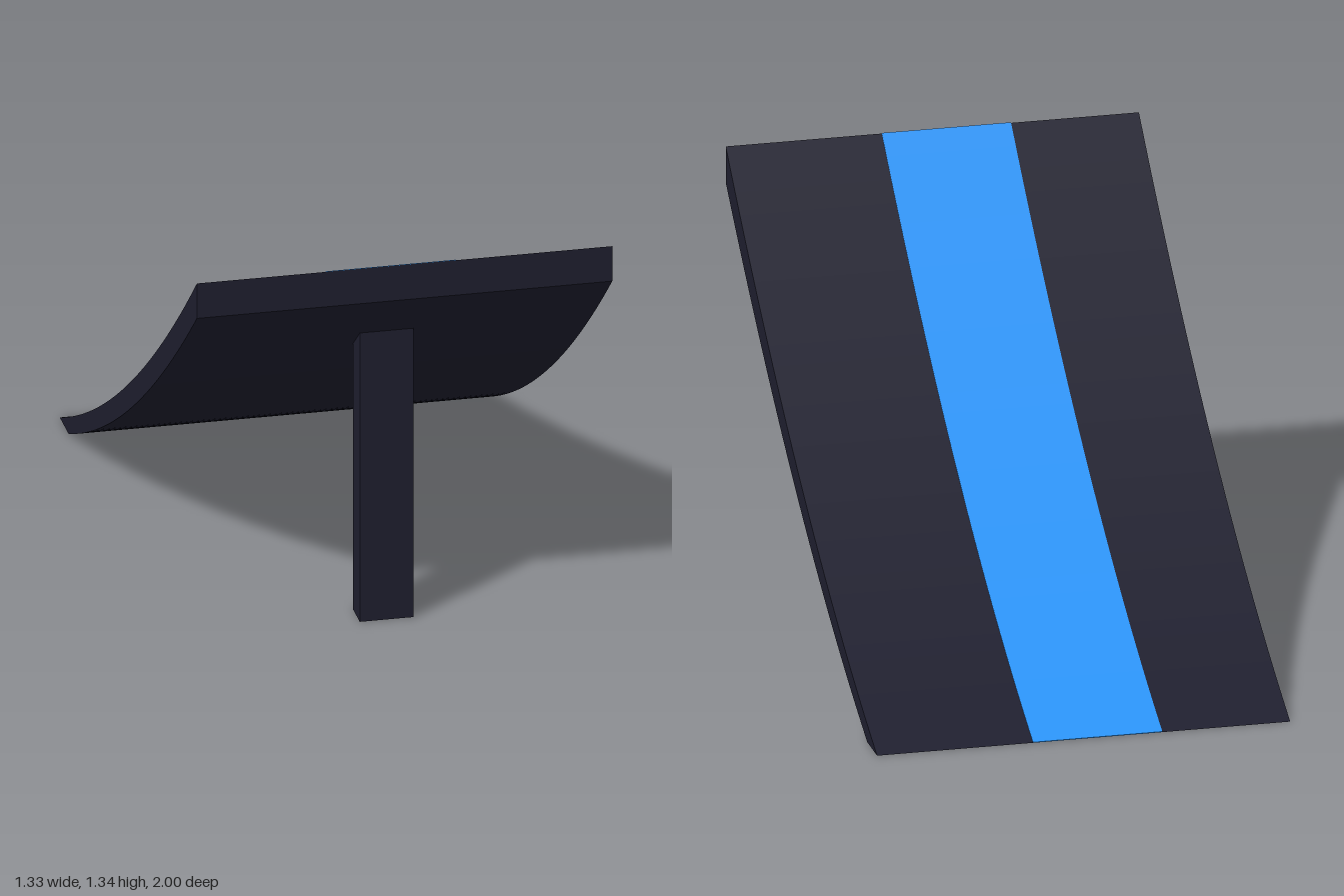
import * as THREE from 'three';

// Extrude a side profile (drawn as z, y) across x from x0 to x1
function sideExtrude(name, shape, x0, x1, color) {
  const geo = new THREE.ExtrudeGeometry(shape, { depth: x1 - x0, bevelEnabled: false, curveSegments: 32 });
  geo.rotateY(-Math.PI / 2);
  geo.translate(x1, 0, 0);
  const mesh = new THREE.Mesh(geo, new THREE.MeshStandardMaterial({ color }));
  mesh.name = name;
  return mesh;
}

export function createModel() {
  const group = new THREE.Group();
  group.name = 'ramp';
  const dark = 0x1e1e2e, blue = 0x2a94f7;

  // Curved deck, high at the front and running down to the ground at the back
  const deck = new THREE.Shape();
  deck.moveTo(-1, 0);
  deck.lineTo(-0.87, 0);
  deck.quadraticCurveTo(0.065, 0.398, 1, 1.213);
  deck.lineTo(1, 1.333);
  deck.quadraticCurveTo(0, 0.435, -1, 0);
  group.add(sideExtrude('deck', deck, -0.667, 0.667, dark));

  // Thin coloured stripe lying on the deck, slightly off centre
  const lift = 0.002;
  const stripe = new THREE.Shape();
  stripe.moveTo(-1, 0);
  stripe.quadraticCurveTo(0, 0.435, 1, 1.333);
  stripe.lineTo(1, 1.333 + lift);
  stripe.quadraticCurveTo(0, 0.435 + lift, -1, lift);
  stripe.closePath();
  group.add(sideExtrude('stripe', stripe, -0.254, 0.163, blue));

  // Support post, its top cut to the slope under the deck
  const post = new THREE.Shape();
  post.moveTo(0.635, 0);
  post.lineTo(0.737, 0);
  post.lineTo(0.737, 1.0);
  post.lineTo(0.635, 0.92);
  post.closePath();
  group.add(sideExtrude('supportPost', post, -0.086, 0.086, dark));

  return group;
}
